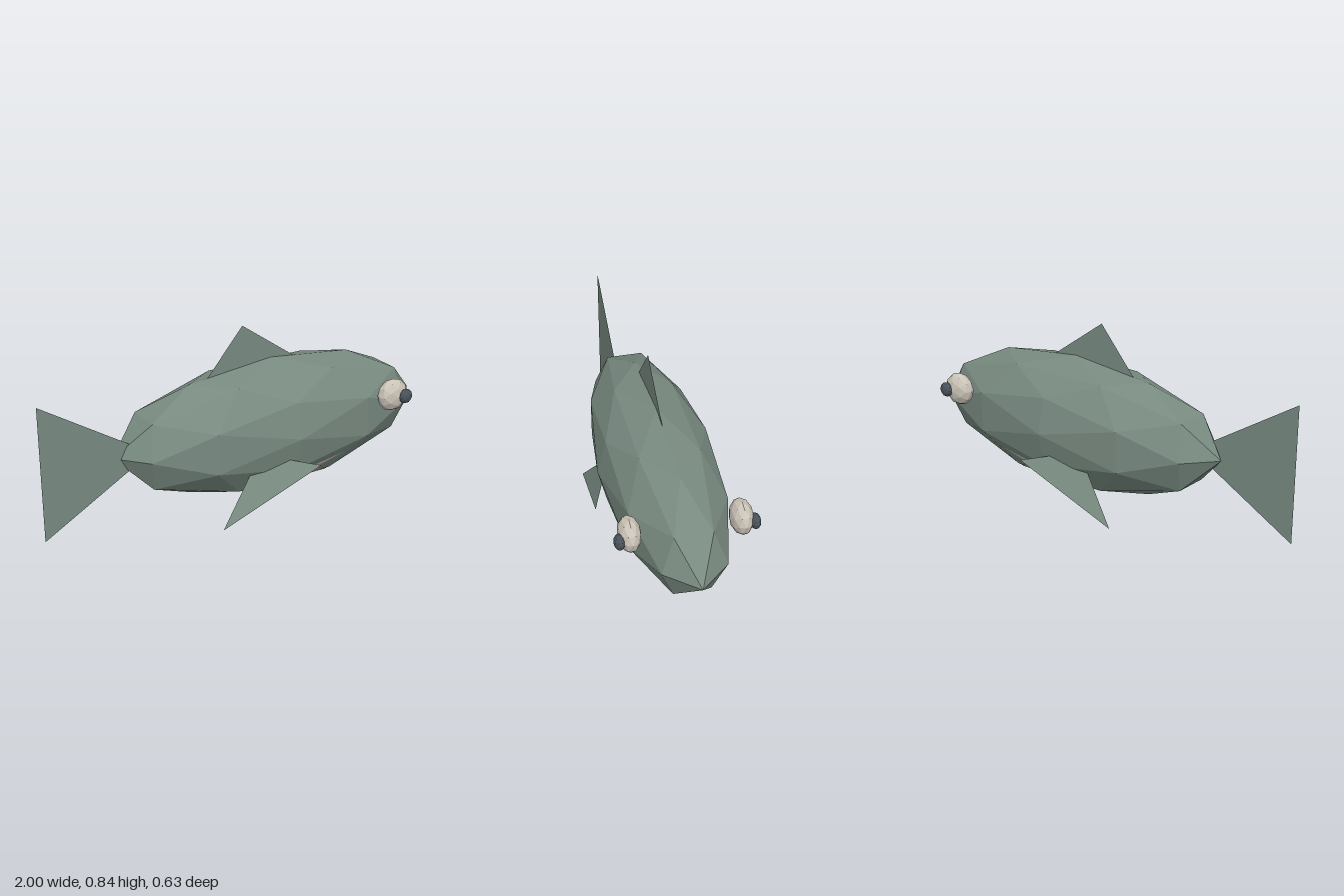
import * as THREE from 'three';

// Faceted ellipsoid: a once-subdivided icosahedron, scaled and placed
function ellipsoid(name, material, position, scale) {
  const geometry = new THREE.IcosahedronGeometry(1, 1);
  geometry.scale(...scale);
  geometry.computeVertexNormals();
  const mesh = new THREE.Mesh(geometry, material);
  mesh.position.set(...position);
  mesh.name = name;
  return mesh;
}

// Single triangular sheet
function fin(name, material, corners) {
  const geometry = new THREE.BufferGeometry();
  geometry.setAttribute('position', new THREE.Float32BufferAttribute(corners.flat(), 3));
  geometry.computeVertexNormals();
  const mesh = new THREE.Mesh(geometry, material);
  mesh.name = name;
  return mesh;
}

function makeMaterial(name, color, side = THREE.FrontSide) {
  const material = new THREE.MeshStandardMaterial({ color, side, flatShading: true });
  material.name = name;
  return material;
}

export function createModel() {
  const skin = makeMaterial('greyGreenSkin', 0x788a80, THREE.DoubleSide);
  const pale = makeMaterial('paleBelly', 0xb8aaa2);
  const eyeWhite = makeMaterial('eyeWhite', 0xcbc4b8);
  const dark = makeMaterial('darkPupil', 0x49535b);

  const fish = new THREE.Group();
  fish.name = 'fish';

  // Body, with a belly that pokes just through its underside
  fish.add(ellipsoid('body', skin, [0.175, 0.35, 0], [0.825, 0.315, 0.27]));
  fish.add(ellipsoid('belly', pale, [0.25, 0.265, 0], [0.55, 0.23, 0.231]));

  // Upright fins
  fish.add(fin('tailFin', skin, [[-1, 0.68, 0.03], [-1, 0.05, 0.03], [-0.475, 0.35, 0.03]]));
  fish.add(fin('dorsalFin', skin, [[0.02, 0.845, 0], [-0.21, 0.575, 0], [0.36, 0.61, 0]]));

  // Eyes and side fins on both flanks
  for (const [flank, s] of [['front', 1], ['back', -1]]) {
    fish.add(ellipsoid(flank + 'Eye', eyeWhite, [0.71, 0.447, s * 0.241], [0.08, 0.08, 0.051]));
    fish.add(ellipsoid(flank + 'Pupil', dark, [0.75, 0.447, s * 0.29], [0.036, 0.036, 0.024]));
    const tip = [-0.245, 0.002, s * 0.27];
    const lead = [0.265, 0.21, s * 0.3];
    const root = [0, 0.283, s * 0.185];
    fish.add(fin(flank + 'SideFin', skin, s > 0 ? [tip, lead, root] : [lead, tip, root]));
  }
  return fish;
}
